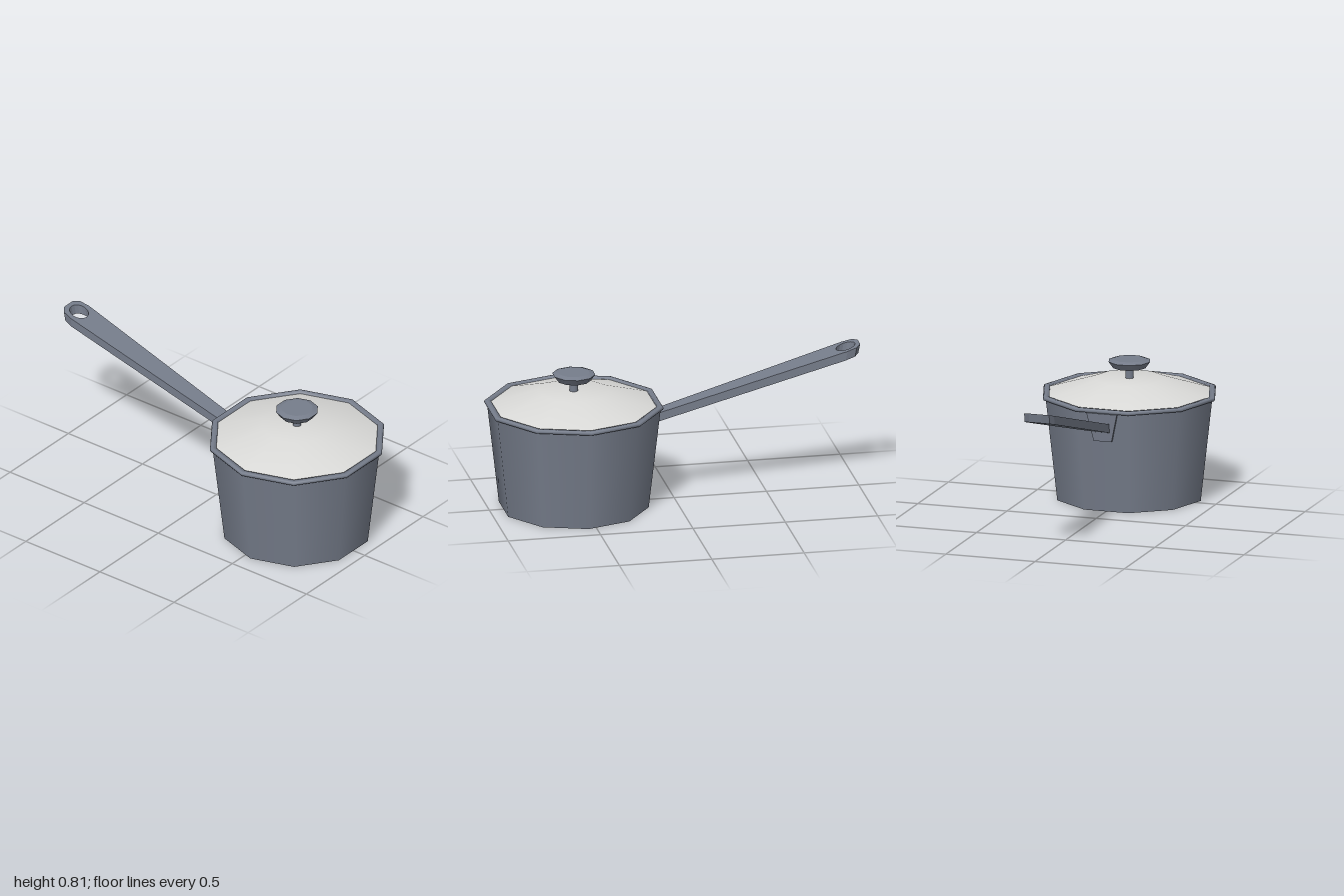
import * as THREE from 'three';

const SIDES = 10;
const TURN = Math.PI / SIDES; // puts a flat side at the front and back
const POT_Z = 0.543;

const steel = new THREE.MeshStandardMaterial({ color: 0x767d8b });
steel.name = 'blue grey steel';
const base = new THREE.MeshStandardMaterial({ color: 0x77757a });
base.name = 'base grey';
const pale = new THREE.MeshStandardMaterial({ color: 0xdadad8 });
pale.name = 'pale lid';

export function createModel() {
  const model = new THREE.Group();
  model.name = 'saucepan';

  const add = (name, geometry, material, y = 0, z = 0) => {
    const mesh = new THREE.Mesh(geometry, material);
    mesh.name = name;
    mesh.position.set(0, y, z);
    model.add(mesh);
    return mesh;
  };
  const lathe = (points) => new THREE.LatheGeometry(
    points.map(([r, y]) => new THREE.Vector2(r, y)), SIDES, TURN);
  const drum = (top, bottom, height, open = false) =>
    new THREE.CylinderGeometry(top, bottom, height, SIDES, 1, open, TURN);

  // Pot: tapered wall, flat base and rolled rim
  add('potWall', drum(0.464, 0.4, 0.555, true), steel, 0.2775, POT_Z);
  const bottom = new THREE.CircleGeometry(0.4, SIDES);
  bottom.rotateX(Math.PI / 2);
  add('potBase', bottom, base, 0, POT_Z);
  add('rim', lathe([
    [0.445, 0.553], [0.463, 0.549], [0.475, 0.551], [0.48, 0.56],
    [0.475, 0.568], [0.465, 0.571], [0.445, 0.569], [0.445, 0.553],
  ]), steel, 0, POT_Z);

  // Lid with a flat crown
  add('lid', lathe([[0.448, 0.559], [0.19, 0.64], [0, 0.641]]), pale, 0, POT_Z);

  // Knob
  add('knobStem', drum(0.023, 0.023, 0.07), steel, 0.67, POT_Z);
  add('knobGrip', drum(0.115, 0.09, 0.035), steel, 0.7175, POT_Z);
  add('knobTop', drum(0.085, 0.115, 0.01), steel, 0.74, POT_Z);

  // Handle: plan outline with hanging hole, sheared to rise toward the back
  const half = [[0.04, -0.11], [0.08, 0.92], [0.07, 0.972], [0.035, 0.997]];
  const outline = [...half, ...half.map(([x, d]) => [-x, d]).reverse()];
  const shape = new THREE.Shape(outline.map(([x, d]) => new THREE.Vector2(x, d)));
  const hole = new THREE.Path();
  hole.absarc(0, 0.925, 0.051, 0, Math.PI * 2, true);
  shape.holes.push(hole);
  const handle = new THREE.ExtrudeGeometry(shape, { depth: 0.05, bevelEnabled: false, curveSegments: 8 });
  handle.rotateX(-Math.PI / 2);
  const p = handle.attributes.position;
  for (let i = 0; i < p.count; i++) {
    const y = p.getY(i), z = p.getZ(i);
    p.setY(i, y + 0.473 - 0.284 * z);
    p.setZ(i, z - (y - 0.05) * 0.2 - 0.003);
  }
  handle.computeVertexNormals();
  add('handle', handle, steel);

  // Tapered mounting plate, leaning with the pot wall
  const plate = new THREE.Shape([
    [-0.05, 0], [0.05, 0], [0.085, 0.155], [-0.085, 0.155],
  ].map(([x, y]) => new THREE.Vector2(x, y)));
  const bracket = add('handleBracket',
    new THREE.ExtrudeGeometry(plate, { depth: 0.03, bevelEnabled: false }), steel, 0.396, 0.103);
  bracket.rotation.x = -0.108;

  return model;
}
